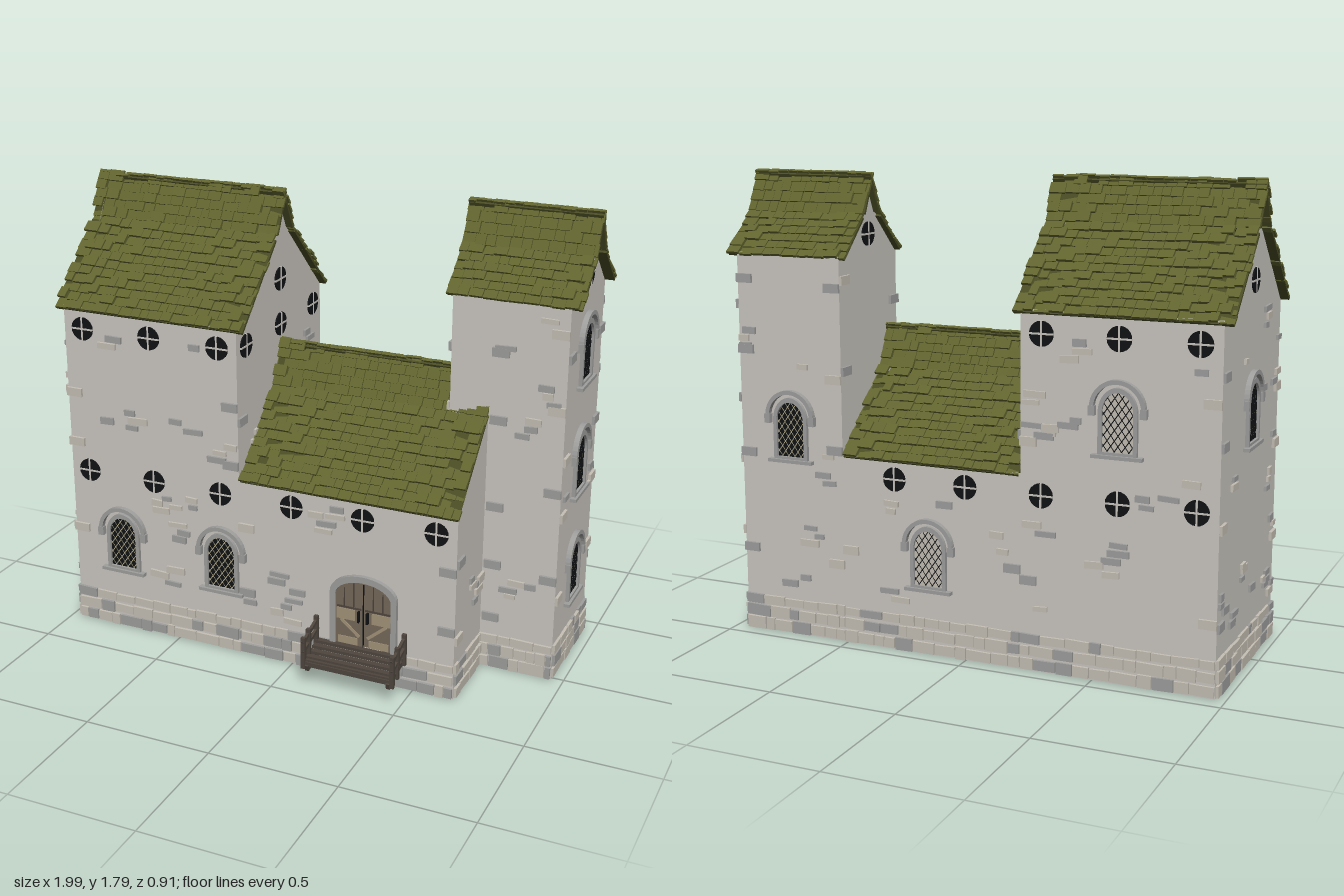
import * as THREE from 'three';
import { mergeGeometries } from 'three/addons/utils/BufferGeometryUtils.js';

const mat = (name, color, side = THREE.FrontSide) => {
  const m = new THREE.MeshStandardMaterial({ color, side });
  m.name = name;
  return m;
};
const M = {
  wall: mat('plaster', 0xcbc7c1, THREE.DoubleSide),
  grey: mat('greyStone', 0x9f9f9e),
  light: mat('paleStone', 0xc6c0b5),
  roof: mat('mossTile', 0x62652f),
  under: mat('roofUnderside', 0x4a4c24),
  black: mat('darkGlass', 0x101214),
  lead: mat('windowLattice', 0xb2aa8a),
  wood: mat('darkWood', 0x4f463e),
  door: mat('doorWood', 0x75685a),
  doorLight: mat('paleDoorWood', 0xa3947a),
};

// Small seeded generator
let seed = 7;
const rnd = (a = 0, b = 1) => {
  seed = (seed * 16807) % 2147483647;
  return a + (b - a) * (seed / 2147483647);
};

const box = (w, h, d, x = 0, y = 0, z = 0, rz = 0) =>
  new THREE.BoxGeometry(w, h, d).rotateZ(rz).translate(x, y, z);

function add(parent, name, material, geos) {
  if (!geos.length) return;
  const m = new THREE.Mesh(mergeGeometries(geos.map(g => (g.index ? g.toNonIndexed() : g))), material);
  m.name = name;
  parent.add(m);
}

// Round-headed outline: half width w, base y0, spring height ys, top height
function arch(w, y0, ys, top, Type = THREE.Shape) {
  const s = new Type();
  s.moveTo(-w, y0); s.lineTo(w, y0); s.lineTo(w, ys);
  s.absellipse(0, ys, w, top - ys, 0, Math.PI, false, 0);
  s.closePath();
  return s;
}
const slab = (shape, z0, z1) =>
  new THREE.ExtrudeGeometry(shape, { depth: z1 - z0, bevelEnabled: false, curveSegments: 10 }).translate(0, 0, z0);

// Leaded window; a pale one has light panes between dark leads
function archedWindow(pale) {
  const g = new THREE.Group();
  g.name = 'archedWindow';
  add(g, 'windowLattice', pale ? M.black : M.lead, [slab(arch(0.066, 0.015, 0.16, 0.24), -0.003, 0.003)]);
  // Diamond panes on both faces of the lattice
  const panes = [];
  for (let r = 0; r < 12; r++) for (let c = -3; c <= 3; c++) {
    const x = (c + (r % 2) / 2) * 0.027, y = 0.022 + r * 0.019;
    if (Math.abs(x) > 0.062 || (y > 0.16 && Math.hypot(x / 0.06, (y - 0.16) / 0.075) > 1)) continue;
    panes.push(new THREE.CylinderGeometry(1, 1, 0.009, 4).rotateX(Math.PI / 2).scale(0.0111, 0.0158, 1).translate(x, y, 0));
  }
  add(g, 'diamondPanes', pale ? M.light : M.black, panes);
  // Stone surround, hood arch with feet, and sill
  const frame = arch(0.073, 0.008, 0.16, 0.25);
  frame.holes.push(arch(0.058, 0.02, 0.16, 0.232, THREE.Path));
  const hood = new THREE.Shape();
  hood.absarc(0, 0.175, 0.104, 0, Math.PI, false);
  hood.absarc(0, 0.175, 0.088, Math.PI, 0, true);
  add(g, 'windowSurround', M.grey, [
    slab(frame, -0.006, 0.014), slab(hood, 0, 0.02), box(0.19, 0.013, 0.03, 0, 0.004, 0.009),
    ...[-1, 1].map(s => box(0.024, 0.035, 0.02, s * 0.096, 0.165, 0.011)),
  ]);
  return g;
}

function roundWindow() {
  const g = new THREE.Group();
  g.name = 'roundWindow';
  add(g, 'roundPane', M.black, [new THREE.CylinderGeometry(0.046, 0.046, 0.012, 20).rotateX(Math.PI / 2)]);
  add(g, 'crossBar', M.wall, [box(0.007, 0.092, 0.016), box(0.092, 0.007, 0.016)]);
  return g;
}

// One wall in its own plane: outline, openings, scattered stones, corner stones and plinth
function wall(root, o) {
  const g = new THREE.Group();
  g.name = o.name;
  g.position.set(o.x || 0, 0, o.z || 0);
  g.rotation.y = o.turn * Math.PI / 2;
  root.add(g);
  add(g, o.name + 'Face', M.wall, [new THREE.ShapeGeometry(new THREE.Shape(o.pts.map(p => new THREE.Vector2(...p))))]);
  const windows = o.windows || [], rounds = o.rounds || [];
  const put = (part, [u, v]) => { part.position.set(u, v, 0); g.add(part); };
  windows.forEach(p => put(archedWindow(o.pale), p));
  rounds.forEach(p => put(roundWindow(), p));

  const grey = [], light = [];
  const [u0, u1, v0, v1] = o.area;
  const free = (u, v, w) => u - w / 2 > u0 && u + w / 2 < u1 && v > v0 && v < v1 &&
    !windows.some(p => Math.abs(u - p[0]) < 0.115 + w / 2 && v > p[1] - 0.03 && v < p[1] + 0.31) &&
    !rounds.some(p => Math.hypot(u - p[0], v - p[1]) < 0.06 + w / 2) &&
    !(o.door && Math.abs(u - 0.3) < 0.16 + w / 2 && v < 0.46);
  const count = Math.round((u1 - u0) * (v1 - v0) * 20);
  for (let i = 0; i < count; i++) {
    const cu = rnd(u0, u1), cv = rnd(v0, v1), n = Math.floor(rnd(1, 4.2));
    for (let k = 0; k < n; k++) {
      const w = rnd(0.035, 0.085), u = cu + rnd(-0.05, 0.05), v = cv + k * 0.03;
      if (free(u, v, w)) (rnd() < 0.6 ? grey : light).push(box(w, rnd(0.018, 0.029), 0.01, u, v, 0.0055, rnd(-0.05, 0.05)));
    }
  }
  for (const [e, s] of [[u0, 1], [u1, -1]])
    for (let v = v0 + rnd(0.02, 0.25); v < v1 - 0.03; v += rnd(0.2, 0.45))
      if (free(e + s * 0.035, v, 0.06)) (rnd() < 0.6 ? grey : light).push(box(0.065, 0.034, 0.011, e + s * 0.031, v, 0.006));

  // Irregular plinth courses
  if (o.plinth) {
    let y = 0;
    for (const h of [0.052, 0.05, 0.044]) {
      for (let u = o.plinth[0]; u < o.plinth[1] - 0.01;) {
        const w = Math.min(rnd(0.035, 0.105), o.plinth[1] - u);
        const hh = h - rnd(0.003, 0.016);
        (rnd() < 0.35 ? grey : light).push(box(w - 0.004, hh, 0.011, u + w / 2, y + h / 2, rnd(0.003, 0.008), rnd(-0.03, 0.03)));
        u += w;
      }
      y += h;
    }
  }
  add(g, 'greyStones', M.grey, grey);
  add(g, 'paleStones', M.light, light);
  return g;
}

// Half a flared roof: profile runs from eave to ridge as [distance from ridge, height]
function roofHalf(root, name, x0, x1, zc, back, prof) {
  const g = new THREE.Group(), L = x1 - x0, tiles = [], under = [];
  g.name = name;
  g.position.set((x0 + x1) / 2, 0, zc);
  g.rotation.y = back ? Math.PI : 0;
  for (let i = 0; i < 2; i++) {
    const [za, ya] = prof[i], [zb, yb] = prof[i + 1];
    const len = Math.hypot(za - zb, ya - yb), ang = Math.atan2(yb - ya, za - zb);
    const place = (geo, t, lift) => geo.rotateX(ang).translate(
      0, ya + (yb - ya) * t + Math.cos(ang) * lift, za + (zb - za) * t + Math.sin(ang) * lift);
    under.push(place(box(L - 0.014, 0.01, len - 0.012), 0.47, -0.016));
    const rows = Math.round(len / 0.038), step = len / rows;
    for (let r = 0; r < rows; r++) {
      const edge = L / 2 - rnd(0, 0.008);
      for (let u = -edge; u < edge - 0.008;) {
        const w = Math.min(rnd(0.032, 0.066), edge - u);
        // Lower edge of each tile lifts over the course below
        const tile = box(w - 0.0025, 0.01, step * rnd(1.08, 1.25), u + w / 2).rotateX(-0.13).rotateZ(rnd(-0.03, 0.03));
        tiles.push(place(tile, (r + 0.42) / rows, -0.007 + rnd(-0.001, 0.002)));
        u += w;
      }
    }
  }
  add(g, name + 'Tiles', M.roof, tiles);
  add(g, name + 'Boards', M.under, under);
  root.add(g);
}

function buildDoor(parent) {
  const g = new THREE.Group();
  g.name = 'door';
  g.position.set(0.3, 0.13, 0);
  parent.add(g);
  const frame = arch(0.135, 0, 0.23, 0.31);
  frame.holes.push(arch(0.113, 0, 0.22, 0.285, THREE.Path));
  add(g, 'doorSurround', M.grey, [slab(frame, -0.006, 0.018)]);
  add(g, 'doorLeaves', M.door, [slab(arch(0.115, 0, 0.22, 0.287), -0.005, 0.008)]);
  // Planks and braces show on both faces
  add(g, 'doorPlanks', M.doorLight, [-1, 1].flatMap(s => [
    box(0.075, 0.045, 0.018, s * 0.072, 0.14, 0.002), box(0.08, 0.03, 0.018, s * 0.063, 0.03, 0.002),
    box(0.1, 0.012, 0.018, s * 0.055, 0.085, 0.002, s * 0.7)]));
  add(g, 'doorBands', M.wood, [-1, 1].flatMap(s => [
    box(0.1, 0.007, 0.019, s * 0.058, 0.17, 0.002), box(0.004, 0.1, 0.019, s * 0.04, 0.225, 0.002),
    box(0.004, 0.08, 0.019, s * 0.078, 0.21, 0.002)]));
  add(g, 'doorIrons', M.black, [box(0.004, 0.27, 0.02, 0, 0.14, 0.002),
    ...[-1, 1].map(s => box(0.008, 0.045, 0.014, s * 0.018, 0.14, 0.014))]);
}

function buildPorch(root) {
  const g = new THREE.Group(), a = 0.3;
  g.name = 'porch';
  g.position.set(0.29, 0, 0.38);
  root.add(g);
  const tilt = (w, h, d, x, y) => box(w, h, d).rotateX(a).translate(x, y, 0);
  const parts = [];
  for (let i = 0; i < 5; i++) parts.push(box(0.36, 0.012, 0.022, 0, 0.137 - i * 0.009, -0.055 + i * 0.028));
  for (const s of [-1, 1]) {
    parts.push(tilt(0.016, 0.025, 0.14, s * 0.165, 0.1));
    for (const y of [0.165, 0.205]) parts.push(tilt(0.011, 0.014, 0.145, s * 0.18, y));
    for (const z of [-0.055, 0.015, 0.062]) parts.push(box(0.017, 0.13, 0.015, s * 0.18, 0.16 - z * 0.31, z));
  }
  parts.push(box(0.36, 0.03, 0.01, 0, 0.1, 0.058));
  add(g, 'porchTimber', M.wood, parts);
}

export function createModel() {
  const root = new THREE.Group();
  root.name = 'stoneHall';
  const F = 0.305, B = -0.435, C = -0.065;
  const rect = (a, b, y0, y1) => [[a, y0], [b, y0], [b, y1], [a, y1]];
  const gable = (c, h, prof, y0) => {
    const [[, e], [bz, by], [, r]] = prof;
    const d = 0.015;
    return [[c - h, y0], [c + h, y0], [c + h, e - d], [c + bz, by - d], [c, r - 2 * d], [c - bz, by - d], [c - h, e - d]];
  };
  const big = [[0.378, 1.335], [0.08, 1.625], [0, 1.785]];
  const mid = big.map(([z, y]) => [z, y - 0.59]);
  const small = [[0.23, 1.485], [0.07, 1.635], [0, 1.785]];
  const xs = [-0.88, -0.59, -0.3];

  // Tall block
  wall(root, { name: 'tallFrontWall', turn: 0, z: F, pts: rect(-0.96, -0.22, 0, 1.335), area: [-0.96, -0.22, 0.18, 1.3],
    windows: [[-0.74, 0.25], [-0.3, 0.25]], rounds: xs.flatMap(x => [[x, 1.25], [x, 0.665]]), plinth: [-0.96, -0.22] });
  wall(root, { name: 'tallBackWall', turn: 2, z: B, pts: rect(0.22, 0.96, 0, 1.335), area: [0.22, 0.96, 0.18, 1.3],
    windows: [[0.59, 0.83]], pale: true, rounds: xs.flatMap(x => [[-x, 1.25], [-x, 0.665]]), plinth: [0.22, 0.96] });
  wall(root, { name: 'tallLeftGable', turn: -1, x: -0.96, pts: gable(C, 0.37, big, 0), area: [B, F, 0.18, 1.32],
    windows: [[C, 0.83]], rounds: [[C, 1.43]], plinth: [B, F] });
  wall(root, { name: 'tallInnerGable', turn: 1, x: -0.22, pts: gable(-C, 0.37, big, 0.7), area: [-F, -B, 0.8, 1.32],
    rounds: [[-0.23, 1.25], [0.065, 1.25], [0.36, 1.25], [0.065, 1.43]] });

  // Low hall
  const front = wall(root, { name: 'hallFrontWall', turn: 0, z: F, pts: rect(-0.22, 0.66, 0, 0.74), area: [-0.22, 0.66, 0.18, 0.7],
    rounds: [[0, 0.665], [0.29, 0.665], [0.58, 0.665]], door: true, plinth: [-0.22, 0.66] });
  buildDoor(front);
  buildPorch(root);
  wall(root, { name: 'hallBackWall', turn: 2, z: B, pts: rect(-0.51, 0.22, 0, 0.74), area: [-0.51, 0.22, 0.18, 0.7],
    windows: [[-0.15, 0.25]], pale: true, rounds: [[-0.29, 0.665], [0, 0.665]], plinth: [-0.51, 0.22] });
  wall(root, { name: 'hallEndWall', turn: 1, x: 0.66, pts: [[-F, 0], [-0.01, 0], [-0.01, 1.02], [-F, 0.73]],
    area: [-F, -0.01, 0.18, 0.7], plinth: [-F, -0.01] });

  // Tower
  wall(root, { name: 'towerFrontWall', turn: 0, z: 0.01,
    pts: [[0.66, 0], [0.95, 0], [0.95, 1.485], [0.51, 1.485], [0.51, 0.7], [0.66, 0.7]], area: [0.67, 0.95, 0.18, 1.44], plinth: [0.66, 0.95] });
  wall(root, { name: 'towerBackWall', turn: 2, z: B, pts: rect(-0.95, -0.51, 0, 1.485), area: [-0.95, -0.51, 0.18, 1.44],
    windows: [[-0.73, 0.69]], plinth: [-0.95, -0.51] });
  wall(root, { name: 'towerRightWall', turn: 1, x: 0.95, pts: gable(0.2125, 0.2225, small, 0), area: [-0.01, 0.435, 0.18, 1.46],
    windows: [[0.2125, 0.25], [0.2125, 0.69], [0.2125, 1.13]], rounds: [[0.2125, 1.55]], plinth: [-0.01, 0.435] });
  wall(root, { name: 'towerLeftWall', turn: -1, x: 0.51, pts: gable(-0.2125, 0.2225, small, 0.7), area: [-0.435, 0.01, 1.0, 1.46],
    rounds: [[-0.2125, 1.55]] });

  // Roofs
  for (const back of [false, true]) {
    const side = back ? 'Back' : 'Front';
    roofHalf(root, 'tallRoof' + side, -1, -0.185, C, back, big);
    roofHalf(root, 'hallRoof' + side, -0.22, back ? 0.51 : 0.665, C, back, mid);
    roofHalf(root, 'towerRoof' + side, 0.48, 0.995, -0.2125, back, small);
  }
  return root;
}
